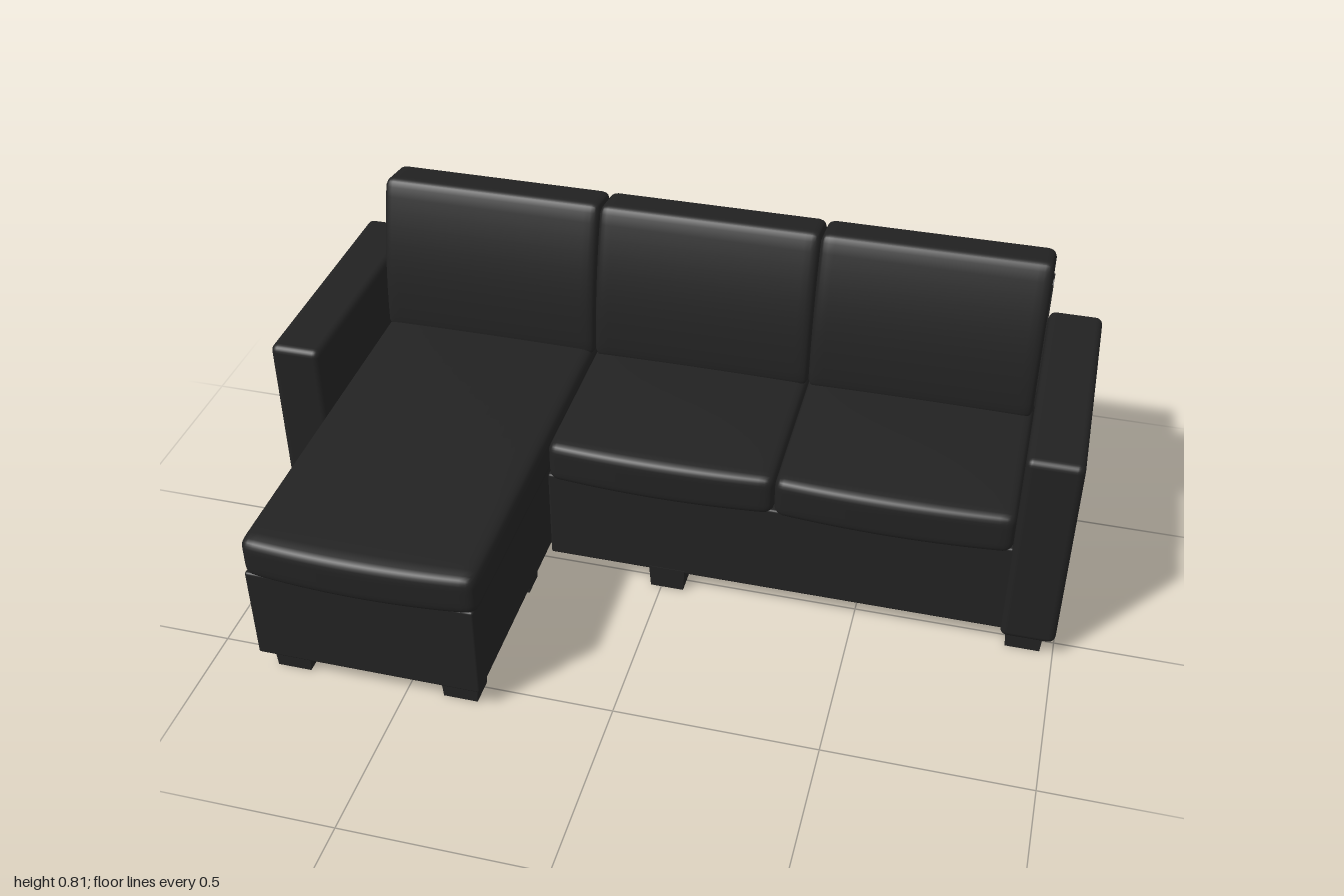
import * as THREE from 'three';
import { mergeVertices } from 'three/addons/utils/BufferGeometryUtils.js';
import { RoundedBoxGeometry } from 'three/addons/geometries/RoundedBoxGeometry.js';

export function createModel() {
  const model = new THREE.Group();
  model.name = 'cornerSofa';
  const upholstery = new THREE.MeshStandardMaterial({ color: 0x222222 });
  upholstery.name = 'charcoal upholstery';

  const add = (name, geometry) => {
    const mesh = new THREE.Mesh(geometry, upholstery);
    mesh.name = name;
    model.add(mesh);
    return mesh;
  };

  // Box given by its limits on each axis, with rounded edges
  const block = (name, [x0, x1], [y0, y1], [z0, z1], r) =>
    add(name, new RoundedBoxGeometry(x1 - x0, y1 - y0, z1 - z0, 3, r))
      .position.set((x0 + x1) / 2, (y0 + y1) / 2, (z0 + z1) / 2);

  // Soft box: rounded edges, then a rule shapes each point.
  // The rule gets the point and its -1..1 position inside the box.
  const cushion = (name, [x0, x1], [y0, y1], [z0, z1], r, rule) => {
    const half = new THREE.Vector3(x1 - x0, y1 - y0, z1 - z0).multiplyScalar(0.5);
    const centre = new THREE.Vector3(x0 + x1, y0 + y1, z0 + z1).multiplyScalar(0.5);
    const inner = half.clone().subScalar(r);
    let g = new THREE.BoxGeometry(2, 2, 2, 24, 14, 24);
    g.deleteAttribute('uv');
    g.deleteAttribute('normal');
    g = mergeVertices(g);
    const pos = g.attributes.position;
    const p = new THREE.Vector3(), core = new THREE.Vector3(), t = new THREE.Vector3();
    const ease = (v) => Math.sin(v * Math.PI / 2); // denser rows near the edges
    for (let i = 0; i < pos.count; i++) {
      p.fromBufferAttribute(pos, i);
      p.set(ease(p.x), ease(p.y), ease(p.z)).multiply(half);
      core.copy(p).clamp(inner.clone().negate(), inner);
      p.sub(core).setLength(r).add(core);
      t.copy(p).divide(half);
      p.add(centre);
      rule(p, t);
      pos.setXYZ(i, p.x, p.y, p.z);
    }
    g.computeVertexNormals();
    return add(name, g);
  };

  // Arms
  block('rightArm', [-1, -0.87], [0.05, 0.595], [-0.595, 0.065], 0.018);
  block('leftArm', [0.865, 1], [0.05, 0.595], [-0.595, 0.065], 0.018);

  // Bases under the seat and the chaise
  block('seatBase', [-0.295, 0.87], [0.055, 0.31], [-0.58, 0.04], 0.006);
  block('chaiseBase', [-0.872, -0.305], [0.055, 0.31], [-0.58, 0.575], 0.006);

  // Back panel, its front leaning backwards towards the top
  const back = new THREE.Shape([
    [0.59, 0.055], [0.59, 0.7], [0.58, 0.71], [0.55, 0.71], [0.54, 0.7], [0.5, 0.4], [0.5, 0.055],
  ].map(([z, y]) => new THREE.Vector2(z, y)));
  const panel = add('backPanel', new THREE.ExtrudeGeometry(back, { depth: 1.735, bevelEnabled: false }));
  panel.rotation.y = Math.PI / 2;
  panel.position.x = -0.87;

  // Seat cushions with a bowed front and a slightly crowned top
  const seatRule = (bow, rise) => (p, t) => {
    const across = 1 - t.x * t.x;
    const front = Math.max(0, t.z) ** 4;
    p.z += bow * across * front;
    if (t.y > 0) p.y += 0.006 * across * (1 - t.z * t.z) + rise * (1 - t.z) / 2;
    else p.y -= 0.006 * across * front;
  };
  cushion('chaiseCushion', [-0.876, -0.294], [0.297, 0.409], [-0.46, 0.576], 0.03, seatRule(0.016, 0.012));
  cushion('middleSeatCushion', [-0.292, 0.283], [0.297, 0.408], [-0.46, 0.048], 0.025, seatRule(0.012, 0.004));
  cushion('leftSeatCushion', [0.283, 0.866], [0.297, 0.408], [-0.46, 0.048], 0.025, seatRule(0.012, 0.004));

  // Back cushions: curved front, leaning back, top sloping to the rear
  const backRule = (p, t) => {
    const u = (t.y + 1) / 2, s = (t.z + 1) / 2;
    p.z = THREE.MathUtils.lerp(-0.5 - 0.062 * u, -0.365 - 0.08 * u * u, s);
    p.y -= u * u * (1 - s) * 0.018;
  };
  [['right', -0.874, -0.289], ['middle', -0.289, 0.285], ['left', 0.285, 0.862]].forEach(([side, a, b]) =>
    cushion(side + 'BackCushion', [a, b], [0.4, 0.815], [-0.52, -0.38], 0.022, backRule));

  // Short tapered feet
  const foot = (x, z) => {
    const g = new THREE.CylinderGeometry(0.5 * Math.SQRT2, 0.46 * Math.SQRT2, 0.065, 4).toNonIndexed();
    g.rotateY(Math.PI / 4);
    g.scale(0.093, 1, 0.072);
    g.computeVertexNormals();
    add('foot', g).position.set(x, 0.0325, z);
  };
  for (const x of [-0.932, 0.015, 0.925]) for (const z of [0.006, -0.538]) foot(x, z);
  for (const x of [-0.795, -0.365]) for (const z of [0.518, 0.115]) foot(x, z);

  return model;
}
